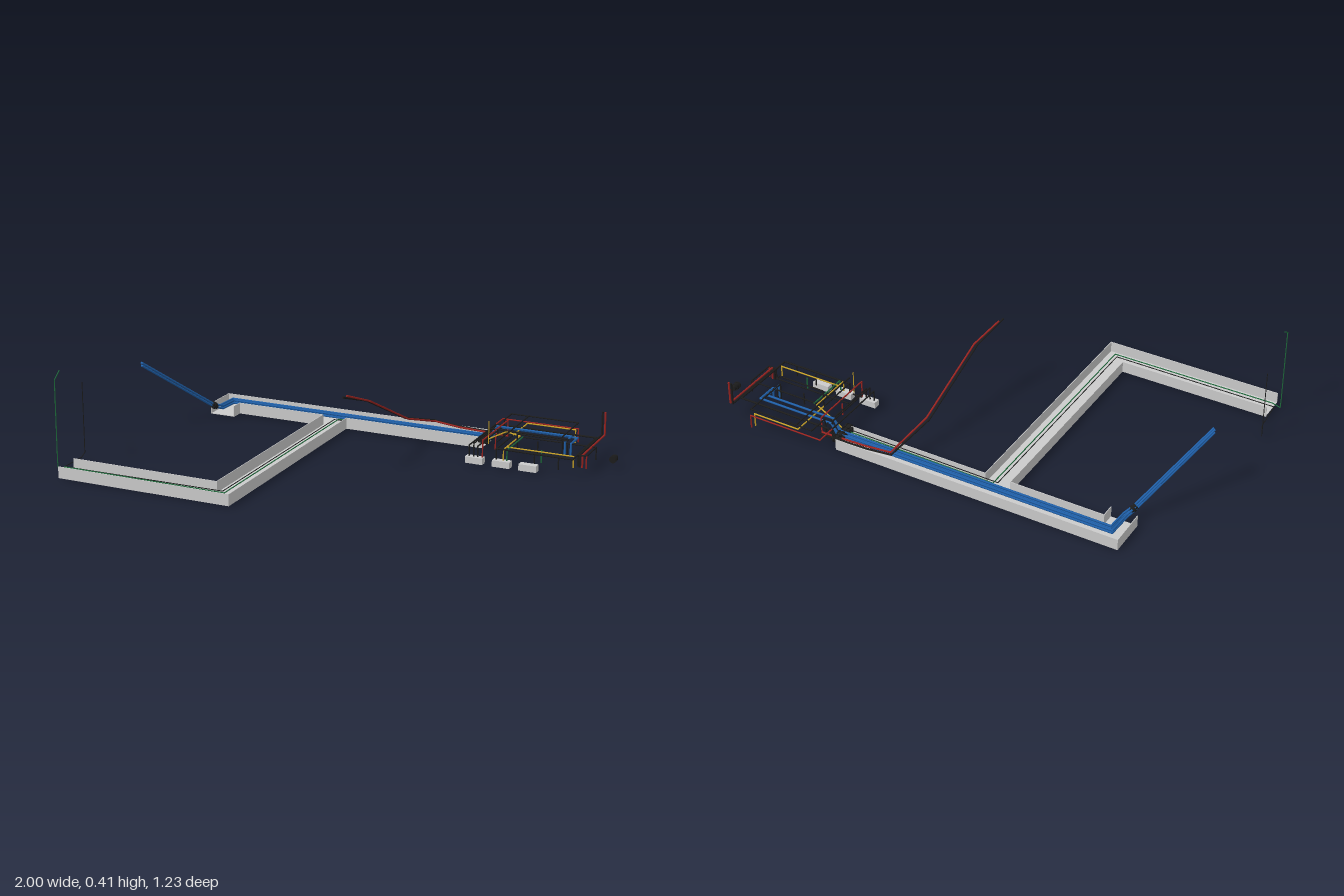
import * as THREE from 'three';
import { mergeGeometries } from 'three/addons/utils/BufferGeometryUtils.js';

const COLORS = { grey: 0xcccccc, black: 0x1c1c1c, red: 0x9c2420, blue: 0x1f5fa8, green: 0x1f6b3c, yellow: 0xc9a227 };
const mats = {};
const mat = (c) => (mats[c] ??= new THREE.MeshStandardMaterial({ color: COLORS[c] }));
const UP = new THREE.Vector3(0, 1, 0);

function add(group, name, geometry, color) {
  const mesh = new THREE.Mesh(geometry, mat(color));
  mesh.name = name;
  group.add(mesh);
  return mesh;
}

// Sharp-cornered cable along a list of [x, y, z] points
function wire(group, name, color, points, r = 0.003) {
  const p = points.map((a) => new THREE.Vector3(...a));
  const parts = [];
  for (let i = 0; i + 1 < p.length; i++) {
    const d = p[i + 1].clone().sub(p[i]);
    const g = new THREE.CylinderGeometry(r, r, d.length() + r, 8);
    g.applyQuaternion(new THREE.Quaternion().setFromUnitVectors(UP, d.normalize()));
    const mid = p[i].clone().add(p[i + 1]).multiplyScalar(0.5);
    parts.push(g.translate(mid.x, mid.y, mid.z));
  }
  return add(group, name, mergeGeometries(parts), color);
}

function box(x0, x1, y0, y1, z0, z1) {
  return new THREE.BoxGeometry(x1 - x0, y1 - y0, z1 - z0)
    .translate((x0 + x1) / 2, (y0 + y1) / 2, (z0 + z1) / 2);
}

function buildTray() {
  const tray = new THREE.Group();
  tray.name = 'cableTray';
  const H = 0.048, T = 0.003;
  // Floor panels: main run, short stub, branch and lower leg
  const floors = [
    [-0.815, 0.42, -0.545, -0.44], [-0.815, -0.705, -0.44, -0.385],
    [-0.305, -0.195, -0.44, 0.61], [-0.95, -0.305, 0.5, 0.61],
  ];
  add(tray, 'trayFloor', mergeGeometries(floors.map(([a, b, c, d]) => box(a, b, 0, T, c, d))), 'grey');
  // Side walls follow the outline; the run ends stay open
  const outlines = [
    [[0.42, -0.545], [-0.815, -0.545], [-0.815, -0.385]],
    [[-0.705, -0.385], [-0.705, -0.44], [-0.305, -0.44], [-0.305, 0.5], [-0.95, 0.5]],
    [[0.42, -0.44], [-0.195, -0.44], [-0.195, 0.61], [-0.95, 0.61]],
  ];
  const walls = [];
  for (const line of outlines) {
    for (let i = 0; i + 1 < line.length; i++) {
      const [a, b] = [line[i], line[i + 1]];
      const h = T / 2;
      walls.push(box(Math.min(a[0], b[0]) - h, Math.max(a[0], b[0]) + h, 0, H,
        Math.min(a[1], b[1]) - h, Math.max(a[1], b[1]) + h));
    }
  }
  add(tray, 'trayWalls', mergeGeometries(walls), 'grey');
  return tray;
}

// Round cable gland with a collar, lying along a direction
function gland(group, name, pos, dir, r, len) {
  const g = mergeGeometries([
    new THREE.CylinderGeometry(r * 0.75, r * 0.75, len, 16),
    new THREE.CylinderGeometry(r, r, len * 0.35, 16),
    new THREE.CylinderGeometry(r, r, len * 0.15, 16).translate(0, len * 0.4, 0),
  ]);
  const mesh = add(group, name, g, 'black');
  mesh.quaternion.setFromUnitVectors(UP, new THREE.Vector3(...dir).normalize());
  mesh.position.set(...pos);
}

function buildTrayCables() {
  const g = new THREE.Group();
  g.name = 'trayCables';
  // Four blue cables in two layers, bending out of the stub and rising
  for (const [i, y] of [0.03, 0.042].entries()) {
    wire(g, 'blueCableOuter', 'blue', [[0.81, 0.035, -0.415], [0.81, 0.08, -0.415], [0.81, 0.08, -0.5], [0.47, 0.08, -0.5],
      [0.44, y, -0.5], [-0.77, y, -0.5], [-0.775, y, -0.39], [-0.79, 0.045 + i * 0.012, -0.355], [-0.965, 0.282 + i * 0.012, -0.065]], 0.0045);
    wire(g, 'blueCableInner', 'blue', [[0.79, 0.035, -0.4], [0.79, 0.09, -0.4], [0.79, 0.09, -0.48], [0.47, 0.09, -0.48],
      [0.44, y, -0.48], [-0.755, y, -0.48], [-0.76, y, -0.39], [-0.78, 0.045 + i * 0.012, -0.35], [-0.957, 0.282 + i * 0.012, -0.058]], 0.0045);
  }
  gland(g, 'stubGland', [-0.783, 0.05, -0.355], [-0.17, 0.24, 0.29], 0.015, 0.03);
  // Red and black pair lifting over the tray wall
  wire(g, 'blackRisingCable', 'black', [[0.5, 0.04, -0.535], [0.28, 0.048, -0.535], [0.17, 0.06, -0.535],
    [0.12, 0.12, -0.335], [0.098, 0.285, 0], [0.066, 0.335, 0.15]], 0.004);
  wire(g, 'redRisingCable', 'red', [[0.5, 0.04, -0.522], [0.29, 0.048, -0.522], [0.18, 0.06, -0.522],
    [0.135, 0.12, -0.33], [0.112, 0.285, 0], [0.072, 0.335, 0.125]], 0.004);
  // Thin pair through the branch to the two upright leads
  wire(g, 'greenLead', 'green', [[0.44, 0.035, -0.46], [-0.24, 0.03, -0.46], [-0.24, 0.03, 0.56], [-0.95, 0.03, 0.56],
    [-0.985, 0.02, 0.56], [-0.985, 0.05, 0.563], [-0.987, 0.383, 0.556], [-0.99, 0.41, 0.515]], 0.0022);
  wire(g, 'darkLead', 'black', [[0.44, 0.035, -0.448], [-0.255, 0.03, -0.448], [-0.255, 0.03, 0.545], [-0.965, 0.025, 0.545],
    [-0.972, 0.022, 0.41], [-0.998, 0.02, 0.345], [-0.998, 0.315, 0.345]], 0.0018);
  // Row of glands at the open end of the main run
  for (const z of [-0.525, -0.495, -0.465, -0.44]) gland(g, 'endGland', [0.425, 0.036, z], [1, 0, 0], 0.016, 0.036);
  return g;
}

function buildWiringFrame() {
  const g = new THREE.Group();
  g.name = 'wiringFrame';
  const LO = 0.08, HI = 0.108, END = 0.035;
  // Terminal blocks and their feed wires
  for (const x of [0.47, 0.585, 0.697]) {
    add(g, 'terminalBlock', box(x - 0.037, x + 0.037, 0.008, 0.035, -0.247, -0.217), 'grey');
  }
  const feeds = [['black', 0.445, -0.53, LO], ['black', 0.465, -0.5, 0.09], ['black', 0.482, -0.52, LO], ['red', 0.502, -0.52, HI]];
  for (const [c, x, z, y] of feeds) {
    wire(g, 'terminalFeed', c, [[0.44, 0.036, z], [x, 0.04, z], [x, y, z], [x, y, -0.232], [x, END - 0.01, -0.232]]);
  }
  for (const [c, x] of [['black', 0.56], ['yellow', 0.59], ['green', 0.605]]) {
    wire(g, 'blockDrop', c, [[x, LO, -0.42], [x, LO, -0.235], [x, 0.025, -0.235]]);
  }
  // Rear loops
  wire(g, 'rearRedLoop', 'red', [[0.445, 0.04, -0.53], [0.445, LO, -0.53], [0.445, LO, -0.615], [0.775, LO, -0.615], [0.775, 0.025, -0.615]]);
  wire(g, 'rearBlackLoop', 'black', [[0.485, 0.04, -0.52], [0.485, HI, -0.52], [0.485, HI, -0.61], [0.775, HI, -0.61],
    [0.775, HI, -0.41], [0.775, END, -0.41]]);
  wire(g, 'rearYellowLoop', 'yellow', [[0.56, LO, -0.42], [0.56, LO, -0.598], [0.768, LO, -0.598], [0.768, 0.025, -0.598]]);
  wire(g, 'crossWire', 'black', [[0.56, HI, -0.615], [0.56, HI, -0.235]]);
  // Outer black loop around the right side
  wire(g, 'outerLoop', 'black', [[0.42, 0.04, -0.535], [0.46, LO, -0.535], [0.878, LO, -0.535], [0.878, LO, -0.235],
    [0.56, LO, -0.235]], 0.004);
  wire(g, 'upperLoop', 'black', [[0.465, HI, -0.385], [0.81, HI, -0.385], [0.81, HI, -0.365], [0.6, HI, -0.365], [0.6, END, -0.365]]);
  wire(g, 'sideLoop', 'black', [[0.6, LO, -0.417], [0.915, LO, -0.417], [0.915, LO, -0.295], [0.88, LO, -0.295], [0.88, END, -0.295]]);
  wire(g, 'yellowLoop', 'yellow', [[0.44, 0.036, -0.46], [0.52, LO, -0.455], [0.59, LO, -0.425], [0.59, LO, -0.27],
    [0.87, LO, -0.27], [0.87, END, -0.27]]);
  wire(g, 'shortCrossWire', 'black', [[0.465, LO, -0.29], [0.505, LO, -0.29]]);
  // Paired tails rising at the far right
  for (const [c, x] of [['black', 0.885], ['red', 0.897]]) {
    wire(g, 'risingTail', c, [[x, 0.175, -0.583], [x, LO, -0.583], [x, LO, -0.3], [x, 0.03, -0.3]], 0.004);
  }
  wire(g, 'yellowPost', 'yellow', [[0.51, 0.175, -0.277], [0.51, LO, -0.277]], 0.002);
  // Wire ends hanging from the loops
  for (const [c, x, z] of [['red', 0.505, -0.37], ['black', 0.68, -0.385], ['black', 0.715, -0.25], ['black', 0.8, -0.4],
    ['red', 0.915, -0.295], ['black', 0.915, -0.417], ['green', 0.73, -0.29], ['black', 0.82, -0.235]]) {
    wire(g, 'hangingEnd', c, [[x, LO, z], [x, 0.03, z]]);
  }
  // Loose connector at the far end
  gland(g, 'looseConnector', [0.985, 0.038, -0.435], [0, 0, 1], 0.015, 0.038);
  return g;
}

export function createModel() {
  const model = new THREE.Group();
  model.name = 'cableTrayAssembly';
  model.add(buildTray(), buildTrayCables(), buildWiringFrame());
  return model;
}
